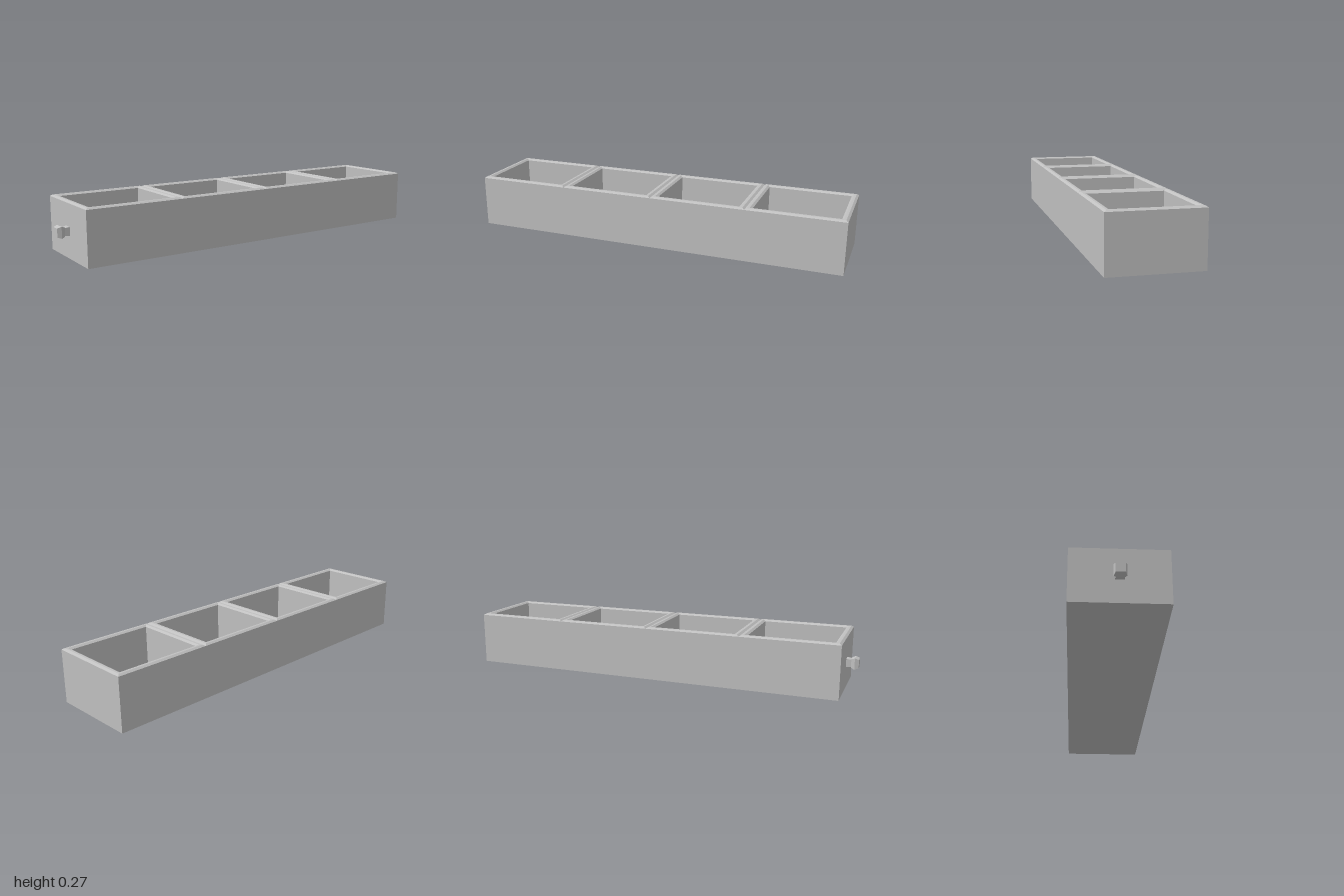
import * as THREE from 'three';

// Loft through rectangular rings [y, halfX, halfZ], listed counter-clockwise in profile (outside going up).
function rectLoft(rings, capStart, capEnd) {
  const pos = [];
  const corners = ([y, a, b]) => [[-a, y, b], [a, y, b], [a, y, -b], [-a, y, -b]];
  const quad = (a, b, c, d) => pos.push(...a, ...b, ...c, ...a, ...c, ...d);
  const loops = rings.map(corners);
  for (let i = 0; i < loops.length - 1; i++) {
    const lo = loops[i], hi = loops[i + 1];
    for (let k = 0; k < 4; k++) {
      const n = (k + 1) % 4;
      quad(lo[k], lo[n], hi[n], hi[k]);
    }
  }
  if (capStart) { const [a, b, c, d] = loops[0]; quad(d, c, b, a); }
  if (capEnd) { const [a, b, c, d] = loops[loops.length - 1]; quad(a, b, c, d); }
  const geo = new THREE.BufferGeometry();
  geo.setAttribute('position', new THREE.Float32BufferAttribute(pos, 3));
  geo.computeVertexNormals();
  return geo;
}

export function createModel() {
  const group = new THREE.Group();
  const grey = new THREE.MeshStandardMaterial({ color: 0xc0c0c0 });
  grey.name = 'light grey';

  const add = (name, geo, x, y) => {
    const mesh = new THREE.Mesh(geo, grey);
    mesh.name = name;
    mesh.position.set(x, y, 0);
    group.add(mesh);
    return mesh;
  };

  const left = -0.94, right = 1, halfZ = 0.217, shoulder = 0.263, top = 0.27;
  const floorY = 0.03, bins = 4;
  const halfX = (right - left) / 2, binHalf = halfX / bins;

  // Outer walls and underside
  add('outerShell', rectLoft([[0, halfX, halfZ], [shoulder, halfX, halfZ]], true, false), (left + right) / 2, 0);

  // Four compartments with bevelled rims
  const binGeo = rectLoft([
    [shoulder, 0], [top, 0.011], [top, 0.022], [shoulder, 0.033], [floorY, 0.033],
  ].map(([y, inset]) => [y, binHalf - inset, halfZ - inset]), false, true);
  for (let i = 0; i < bins; i++) {
    add('compartment' + (i + 1), binGeo, left + binHalf * (2 * i + 1), 0);
  }

  // Small faceted knob on one end
  const knob = add('knob', rectLoft([
    [0, 0.021, 0.021], [0.023, 0.018, 0.018], [0.024, 0.022, 0.022],
    [0.041, 0.028, 0.028], [0.06, 0.021, 0.021],
  ], false, true), left, 0.132);
  knob.rotation.z = Math.PI / 2;

  return group;
}
